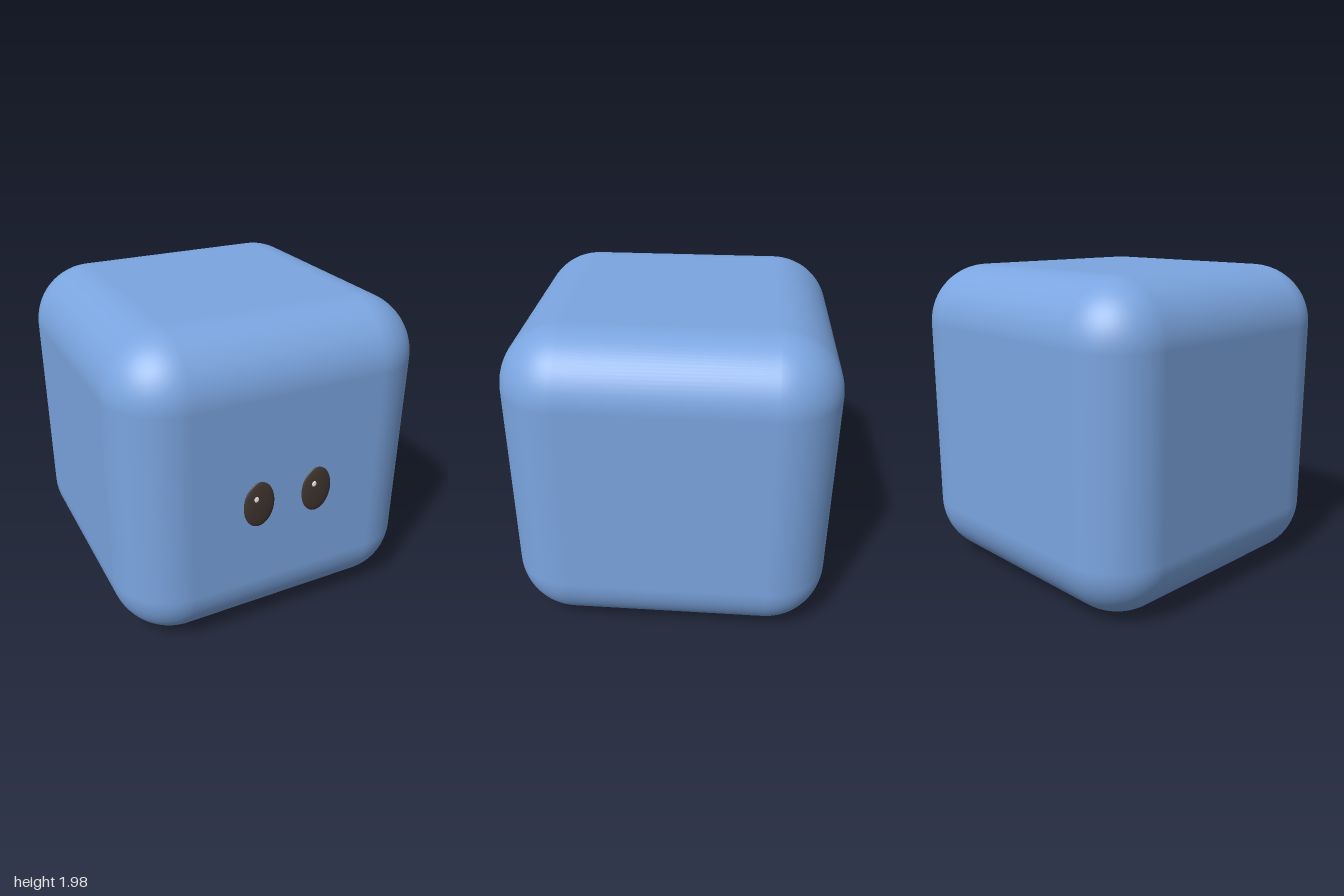
import * as THREE from 'three';
import { RoundedBoxGeometry } from 'three/addons/geometries/RoundedBoxGeometry.js';

const SIZE = 1.976;
const FACE_Z = 0.976; // front plane of the body

export function createModel() {
  const group = new THREE.Group();
  const blue = new THREE.MeshStandardMaterial({ color: 0x7ba5e0 });
  const dark = new THREE.MeshStandardMaterial({ color: 0x40352f });
  const white = new THREE.MeshStandardMaterial({ color: 0xf4efe6 });

  // Flattened ball used for the eyes and their highlights
  const ball = new THREE.SphereGeometry(1, 40, 28);
  function addOval(name, material, position, radii) {
    const mesh = new THREE.Mesh(ball, material);
    mesh.name = name;
    mesh.position.set(...position);
    mesh.scale.set(...radii);
    group.add(mesh);
  }

  // Soft-edged cube body
  const body = new THREE.Mesh(new RoundedBoxGeometry(SIZE, SIZE, SIZE, 12, 0.38), blue);
  body.name = 'body';
  body.position.set(0, SIZE / 2, FACE_Z - SIZE / 2);
  group.add(body);

  // Eyes, each with a small highlight on the same upper side
  for (const [side, x] of [['left', 0.193], ['right', -0.193]]) {
    addOval(`${side}Eye`, dark, [x, 0.93, FACE_Z], [0.1, 0.15, 0.022]);
    addOval(`${side}EyeHighlight`, white, [x - 0.027, 0.98, FACE_Z + 0.019], [0.015, 0.019, 0.005]);
  }

  return group;
}
